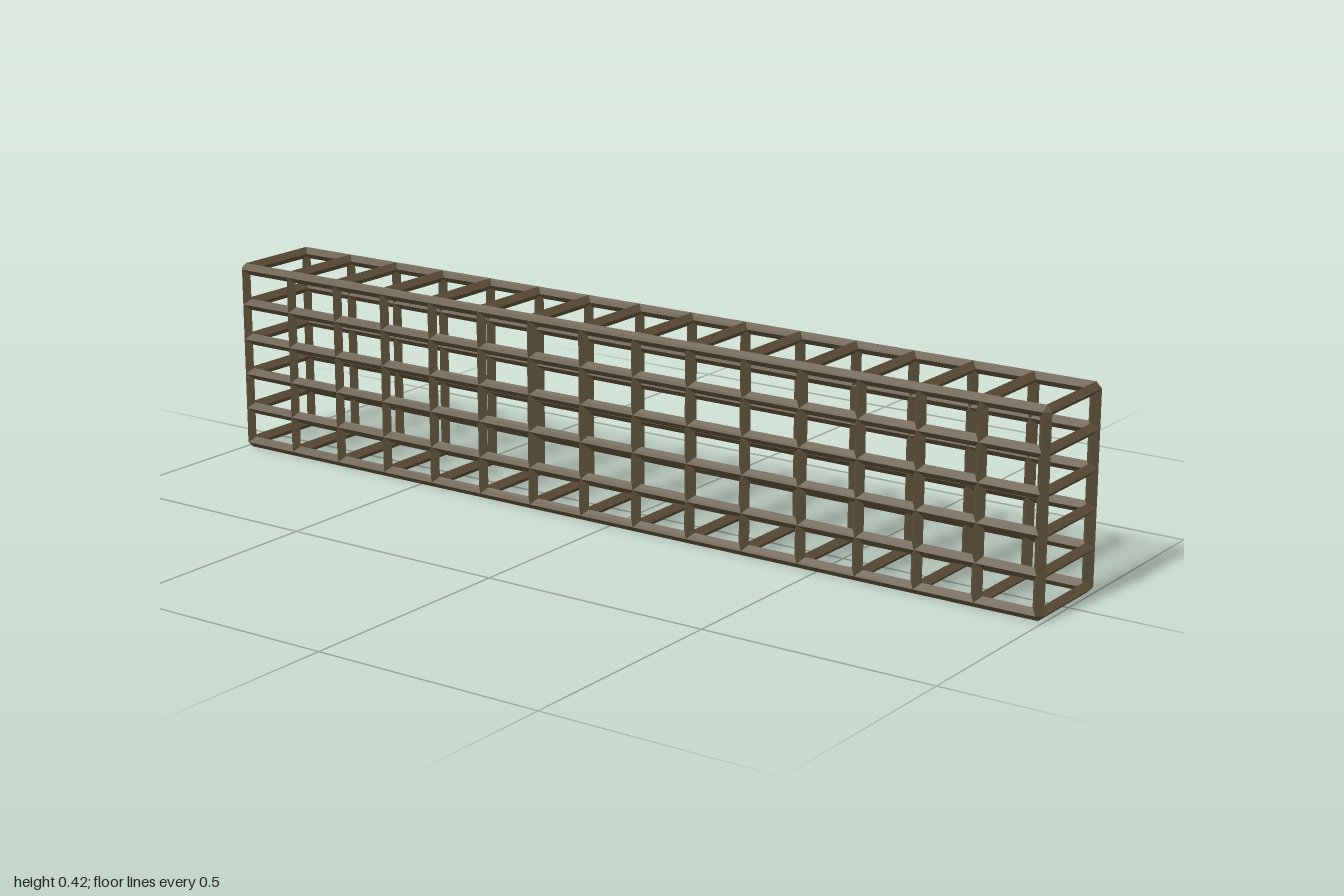
import * as THREE from 'three';

const R = 0.0125;             // half-width of a diamond-section bar
const X = 0.9875, Z = 0.0993; // centre lines of the outermost bars
const Y0 = 0.0125, Y1 = 0.4078;
const COLS = 15, ROWS = 5;

export function createModel() {
  const cage = new THREE.Group();
  cage.name = 'latticeCage';
  const bronze = new THREE.MeshStandardMaterial({ color: 0x5c4f38 });
  bronze.name = 'darkBronze';

  const add = (geometry, name, x, y, z) => {
    const mesh = new THREE.Mesh(geometry, bronze);
    mesh.name = name;
    mesh.position.set(x, y, z);
    cage.add(mesh);
  };

  // Four-sided bar with flat faces and its ridges on the main axes
  const bar = (length) => {
    const g = new THREE.CylinderGeometry(R, R, length, 4, 1, true).toNonIndexed();
    g.computeVertexNormals();
    return g;
  };
  const railGeometry = bar(2 * X).rotateZ(Math.PI / 2);
  const postGeometry = bar(Y1 - Y0);
  const rungGeometry = bar(2 * Z).rotateX(Math.PI / 2);
  const cornerGeometry = new THREE.OctahedronGeometry(R);

  const columnX = (i) => -X + (2 * X * i) / COLS;
  const rowY = (j) => Y0 + ((Y1 - Y0) * j) / ROWS;

  for (const z of [-Z, Z]) {
    // Long rails and upright posts of the front and back grids
    for (let j = 0; j <= ROWS; j++) add(railGeometry, 'longRail', 0, rowY(j), z);
    for (let i = 0; i <= COLS; i++) add(postGeometry, 'uprightPost', columnX(i), (Y0 + Y1) / 2, z);
    // Pointed joints that close the eight corners
    for (const x of [-X, X]) for (const y of [Y0, Y1]) add(cornerGeometry, 'cornerJoint', x, y, z);
  }

  // Cross rungs on the top, bottom and both ends; the inside stays empty
  for (let i = 0; i <= COLS; i++) {
    for (let j = 0; j <= ROWS; j++) {
      const onShell = i === 0 || i === COLS || j === 0 || j === ROWS;
      if (onShell) add(rungGeometry, 'crossRung', columnX(i), rowY(j), 0);
    }
  }
  return cage;
}
